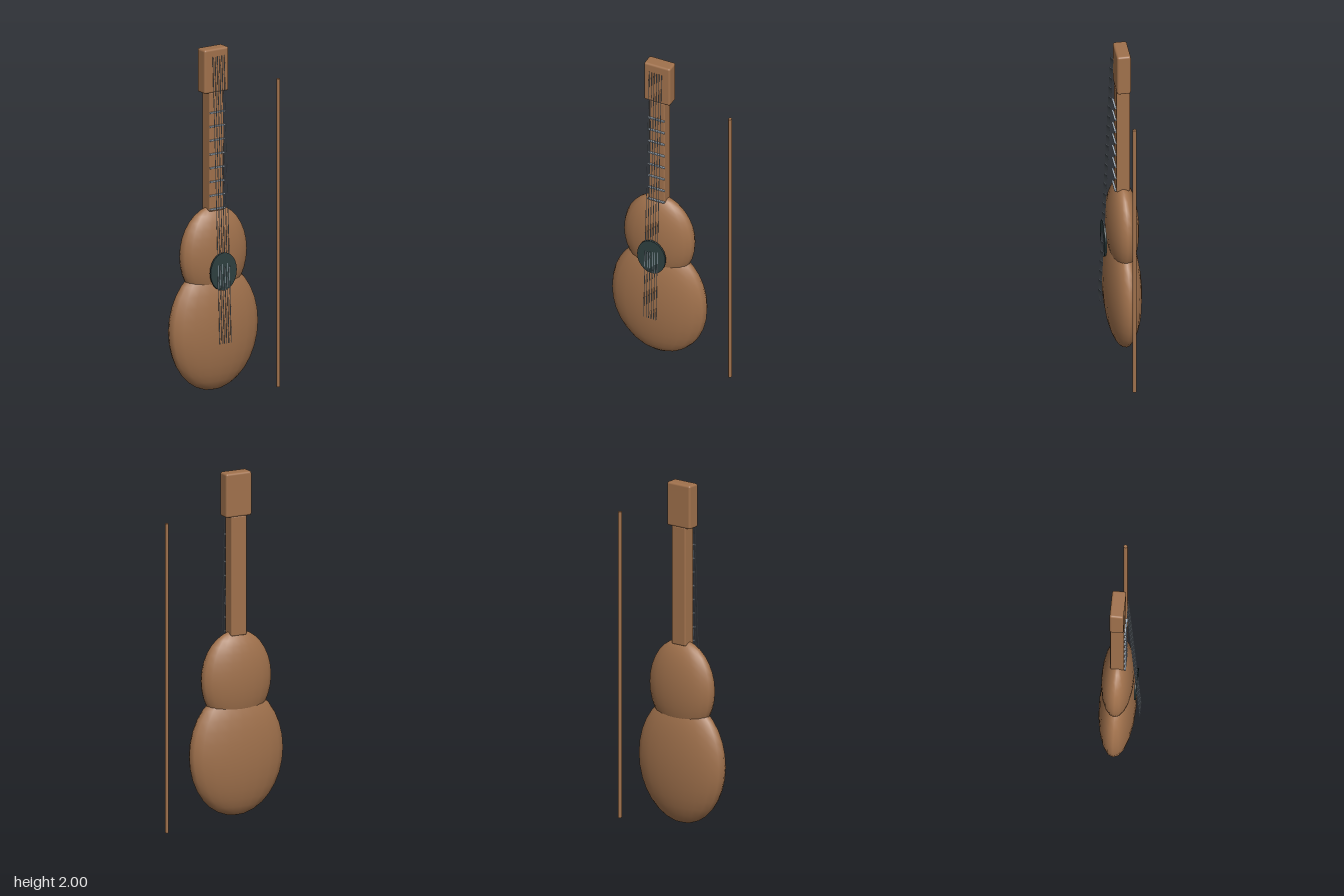
import * as THREE from 'three';
import { RoundedBoxGeometry } from 'three/addons/geometries/RoundedBoxGeometry.js';

const CX = -0.075; // centre line of the instrument
const CZ = -0.012;

export function createModel() {
  const group = new THREE.Group();
  const make = (name, color) => {
    const m = new THREE.MeshStandardMaterial({ color });
    m.name = name;
    return m;
  };
  const wood = make('brown wood', 0xa0714c);
  const dark = make('dark slate', 0x2e3f40);
  const steel = make('steel', 0xaab6c2);

  const add = (name, geometry, material, x, y, z) => {
    const mesh = new THREE.Mesh(geometry, material);
    mesh.name = name;
    mesh.position.set(x, y, z);
    group.add(mesh);
    return mesh;
  };

  // Body: two flattened, overlapping ellipsoids
  const bout = (name, y, rx, ry, rz) =>
    add(name, new THREE.SphereGeometry(1, 20, 16).scale(rx, ry, rz), wood, CX, y, CZ);
  bout('lowerBout', 0.41, 0.29, 0.36, 0.103);
  bout('upperBout', 0.83, 0.215, 0.27, 0.09);

  // Sound hole disc standing on the front
  const disc = new THREE.CylinderGeometry(1, 1, 0.011, 24).rotateX(Math.PI / 2).scale(0.086, 0.108, 1);
  add('soundHole', disc, dark, CX, 0.745, 0.09);

  // Neck and head
  add('neck', new RoundedBoxGeometry(0.096, 0.68, 0.076, 2, 0.008), wood, CX, 1.415, CZ);
  add('head', new RoundedBoxGeometry(0.16, 0.25, 0.077, 3, 0.012), wood, CX, 1.875, CZ);

  // Frets
  for (let i = 0; i < 8; i++) {
    add('fret', new THREE.BoxGeometry(0.1, 0.008, 0.01), steel, CX, 1.09 + i * 0.0786, 0.032);
  }

  // Strings, leaning from the body up to the head
  const low = new THREE.Vector3(0, 0.34, 0.113);
  const high = new THREE.Vector3(0, 1.96, 0.043);
  const direction = high.clone().sub(low);
  const middle = low.clone().add(high).multiplyScalar(0.5);
  for (let i = 0; i < 6; i++) {
    const string = add('string', new THREE.CylinderGeometry(0.002, 0.002, direction.length(), 8),
      steel, CX + (i - 2.5) * 0.015, middle.y, middle.z);
    string.rotation.x = Math.atan2(direction.z, direction.y);
  }

  // Separate slim rod beside the instrument
  add('rod', new THREE.CylinderGeometry(1, 1, 1.755, 16).scale(0.0095, 1, 0.0115), wood, 0.355, 0.8775, CZ);

  return group;
}
